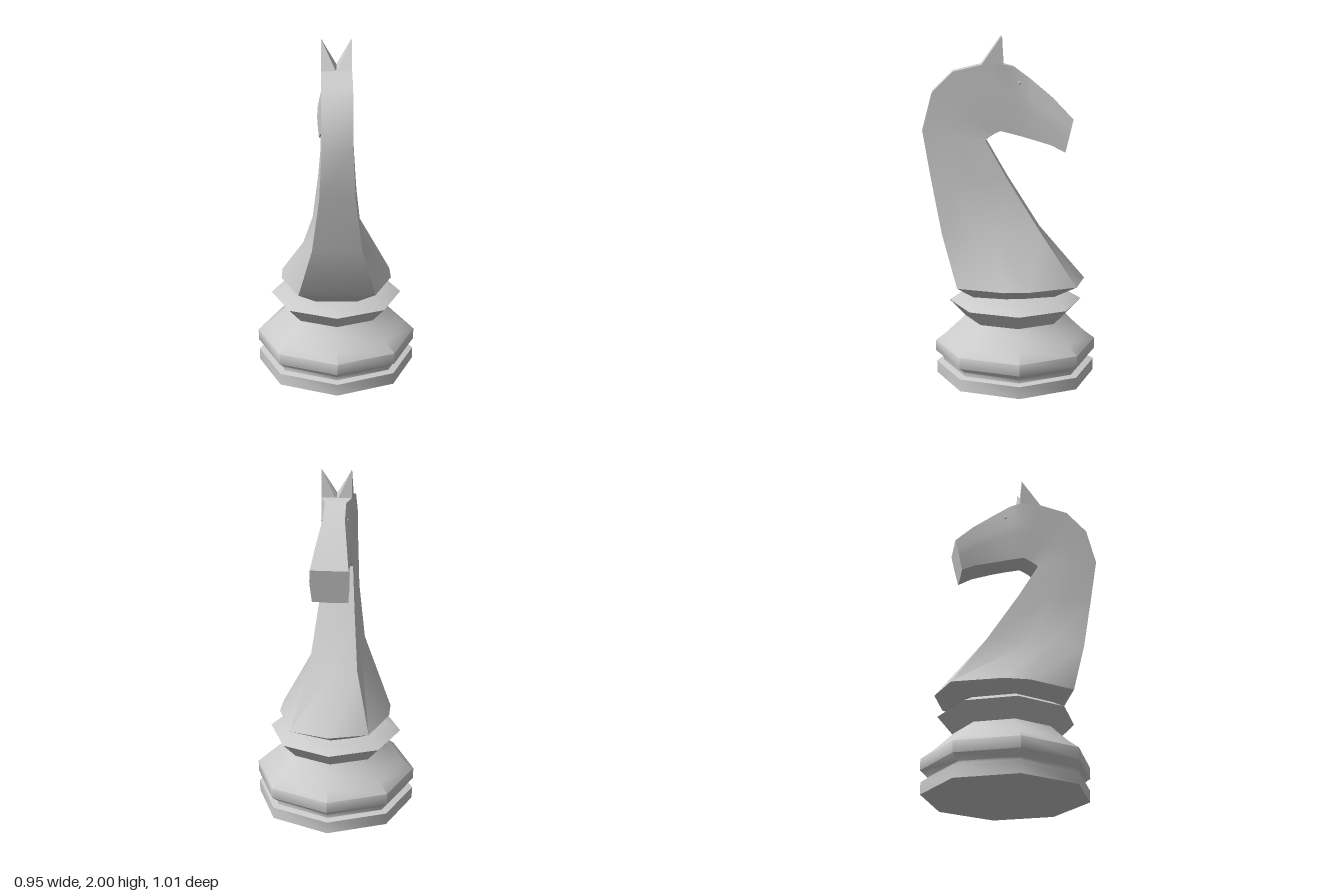
import * as THREE from 'three';
import { toCreasedNormals } from 'three/addons/utils/BufferGeometryUtils.js';
import { ConvexGeometry } from 'three/addons/geometries/ConvexGeometry.js';

const material = new THREE.MeshStandardMaterial({ color: 0xcccccc });
const CREASE = 0.9;

function addMesh(parent, name, geometry) {
  const mesh = new THREE.Mesh(geometry, material);
  mesh.name = name;
  parent.add(mesh);
  return mesh;
}

// Symmetric cross-sections, each running from a front (throat / jaw) point
// to a back (mane / forehead) point:
// [zFront, yFront, zBack, yBack, front corner position, four half widths]
const sections = [
  // flared foot and neck
  [-0.30, 0.495, 0.22, 0.495, 0.09, 0.13, 0.17, 0.17, 0.12],
  [-0.44, 0.575, 0.315, 0.575, 0.09, 0.225, 0.325, 0.325, 0.22],
  [-0.18, 0.88, 0.40, 0.88, 0.02, 0.14, 0.145, 0.145, 0.14],
  [0.02, 1.20, 0.46, 1.20, 0.02, 0.105, 0.108, 0.108, 0.098],
  [0.14, 1.41, 0.505, 1.47, 0.02, 0.085, 0.09, 0.09, 0.085],
  // crest, turning over into the head
  [0.115, 1.425, 0.45, 1.68, 0.02, 0.08, 0.085, 0.085, 0.085],
  [0.09, 1.44, 0.33, 1.80, 0.02, 0.08, 0.085, 0.085, 0.085],
  [0.06, 1.455, 0.16, 1.84, 0.02, 0.08, 0.085, 0.085, 0.085],
  [0.04, 1.45, 0.04, 1.84, 0.02, 0.08, 0.085, 0.085, 0.085],
  // face and muzzle
  [-0.02, 1.435, -0.02, 1.825, 0.02, 0.08, 0.085, 0.08, 0.06],
  [-0.11, 1.41, -0.12, 1.75, 0.02, 0.08, 0.085, 0.08, 0.062],
  [-0.23, 1.375, -0.25, 1.64, 0.02, 0.09, 0.098, 0.095, 0.085],
  [-0.31, 1.335, -0.355, 1.53, 0.02, 0.10, 0.108, 0.11, 0.105],
];

function neckAndHeadGeometry() {
  const positions = [];
  const index = [];
  const n = 9;
  for (const [zf, yf, zb, yb, t0, ...widths] of sections) {
    const ts = [t0, 0.46, 0.65, 1];
    const put = (x, t) => positions.push(x, yf + (yb - yf) * t, zf + (zb - zf) * t);
    put(0, 0);
    for (let i = 0; i < 4; i++) put(widths[i], ts[i]);
    for (let i = 3; i >= 0; i--) put(-widths[i], ts[i]);
  }
  for (let r = 0; r < sections.length - 1; r++) {
    for (let i = 0; i < n; i++) {
      const a = r * n + i;
      const b = r * n + ((i + 1) % n);
      index.push(a, a + n, b, b, a + n, b + n);
    }
  }
  // bottom and nose caps
  const last = (sections.length - 1) * n;
  for (let i = 1; i < n - 1; i++) {
    index.push(0, i, i + 1, last, last + i + 1, last + i);
  }
  const geometry = new THREE.BufferGeometry();
  geometry.setAttribute('position', new THREE.Float32BufferAttribute(positions, 3));
  geometry.setIndex(index);
  return toCreasedNormals(geometry, CREASE);
}

export function createModel() {
  const model = new THREE.Group();
  model.name = 'knightChessPiece';

  // Eight-sided turned base
  const profile = [
    [0, 0], [0.47, 0], [0.47, 0.07], [0.43, 0.078], [0.43, 0.1], [0.475, 0.135],
    [0.475, 0.2], [0.41, 0.25], [0.34, 0.315], [0.3, 0.355], [0.39, 0.45], [0.315, 0.492], [0, 0.497],
  ].map(([r, y]) => new THREE.Vector2(r, y));
  const base = addMesh(model, 'base', toCreasedNormals(new THREE.LatheGeometry(profile, 8), CREASE));
  base.position.z = -0.03;

  addMesh(model, 'neckAndHead', neckAndHeadGeometry());

  // Ears and eyes, mirrored
  for (const [side, s] of [['left', 1], ['right', -1]]) {
    const ear = [
      [0.085, 2, 0.05], [0.085, 1.82, 0.04], [0.085, 1.82, 0.18],
      [0, 1.86, 0.06], [0, 1.83, 0.16], [0, 1.82, 0.04],
    ].map(([x, y, z]) => new THREE.Vector3(s * x, y, z));
    addMesh(model, side + 'Ear', new ConvexGeometry(ear));

    const eye = addMesh(model, side + 'Eye', new THREE.SphereGeometry(0.009, 8, 6));
    eye.position.set(s * 0.07, 1.735, -0.05);
  }

  return model;
}
